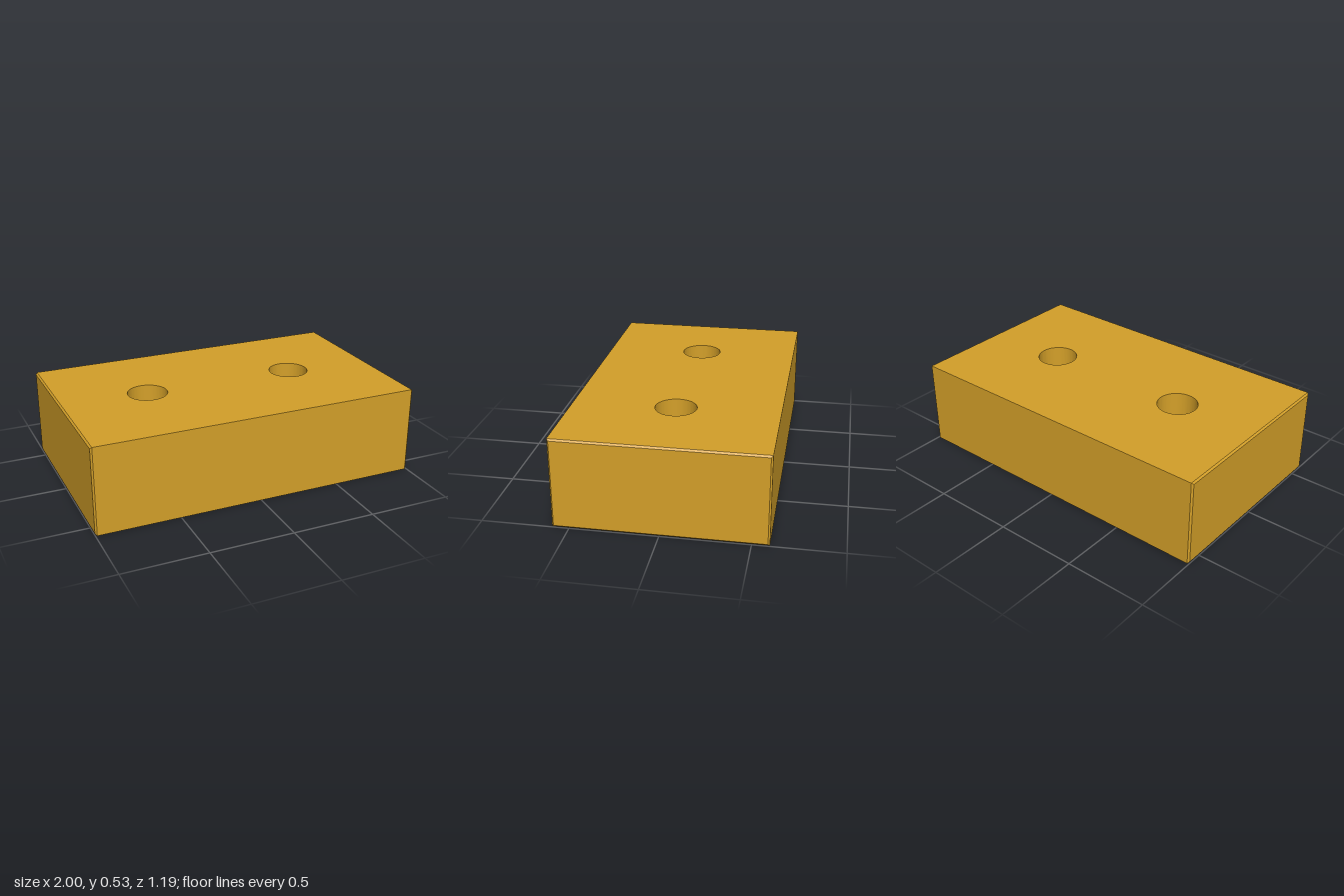
import * as THREE from 'three';
import { toCreasedNormals } from 'three/addons/utils/BufferGeometryUtils.js';

const W = 1, D = 0.597, H = 0.53; // half width, half depth, height
const C = 0.01;                   // chamfer around both end faces
const HOLE_X = 0.47, HOLE_R = 0.12;

export function createModel() {
  const group = new THREE.Group();
  group.name = 'drilledBlock';

  // Plan outline with chamfered corners
  const outline = new THREE.Shape([
    [W, -D + C], [W, D - C], [W - C, D], [-W + C, D],
    [-W, D - C], [-W, -D + C], [-W + C, -D], [W - C, -D],
  ].map(([x, y]) => new THREE.Vector2(x, y)));

  // Two through holes
  for (const side of [-1, 1]) {
    outline.holes.push(new THREE.Path().absarc(side * HOLE_X, 0, HOLE_R, 0, Math.PI * 2, true));
  }

  const geometry = new THREE.ExtrudeGeometry(outline, {
    depth: 3, steps: 3, bevelEnabled: false, curveSegments: 48,
  });

  // Place the four rings at chamfer heights and pull in the ends of the outer two
  const heights = [0, C, H - C, H];
  const pos = geometry.attributes.position;
  for (let i = 0; i < pos.count; i++) {
    const ring = Math.round(pos.getZ(i));
    pos.setZ(i, heights[ring]);
    const x = pos.getX(i);
    if ((ring === 0 || ring === 3) && Math.abs(x) > W - C / 2) {
      pos.setX(i, Math.sign(x) * (W - C));
      pos.setY(i, Math.sign(pos.getY(i)) * D);
    }
  }
  geometry.rotateX(-Math.PI / 2);

  const block = new THREE.Mesh(
    toCreasedNormals(geometry, 0.5),
    new THREE.MeshStandardMaterial({ color: 0xd4a029 }),
  );
  block.name = 'block';
  group.add(block);
  return group;
}
